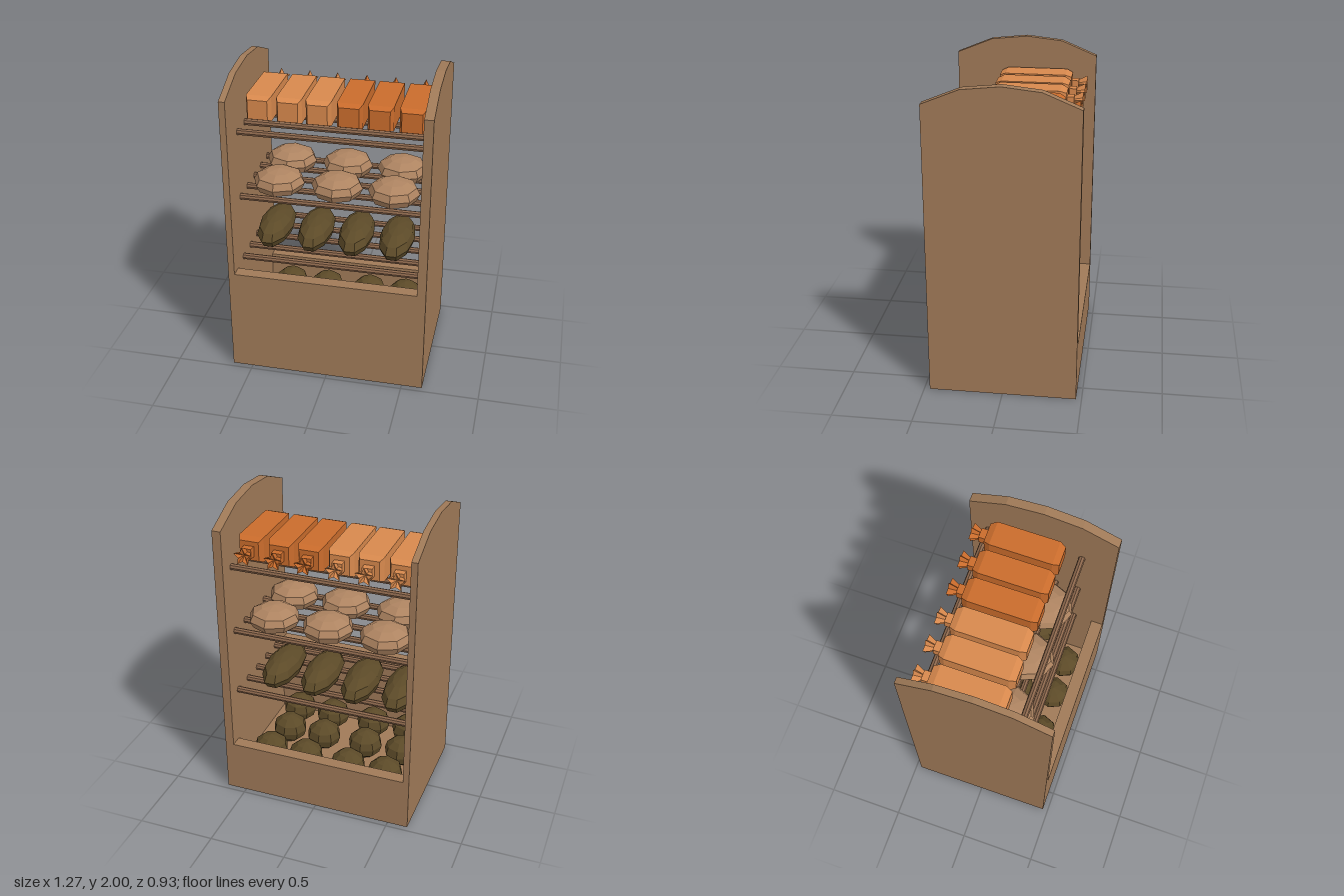
import * as THREE from 'three';

const mat = (name, color) => {
  const m = new THREE.MeshStandardMaterial({ color });
  m.name = name;
  m.flatShading = true;
  return m;
};

export function createModel() {
  const wood = mat('wood', 0xa07a58);
  const rodWood = mat('rod wood', 0x8c674c);
  const crust = mat('pale crust', 0xae8461);
  const rye = mat('dark rye', 0x5c4a28);
  const bagLight = mat('light orange bag', 0xd8894d);
  const bagDark = mat('dark orange bag', 0xca6c2c);

  const model = new THREE.Group();
  model.name = 'breadRack';
  const add = (name, geo, material, x = 0, y = 0, z = 0, parent = model) => {
    const mesh = new THREE.Mesh(geo, material);
    mesh.name = name;
    mesh.position.set(x, y, z);
    parent.add(mesh);
    return mesh;
  };

  // Extrude a (z, y) profile from x0 to x1
  const extrudeX = (profile, x0, x1) => {
    const shape = new THREE.Shape(profile.map(([z, y]) => new THREE.Vector2(-z, y)));
    const geo = new THREE.ExtrudeGeometry(shape, { depth: x1 - x0, bevelEnabled: false });
    return geo.rotateY(Math.PI / 2).translate(x0, 0, 0);
  };

  // Side panels with arched tops
  const side = [[0.465, 0], [0.465, 1.88], [0.235, 1.975], [0, 2], [-0.235, 1.975], [-0.465, 1.88], [-0.465, 0]];
  add('rightPanel', extrudeX(side, -0.633, -0.593), wood);
  add('leftPanel', extrudeX(side, 0.576, 0.633), wood);

  // Bin with a high front, low back and raised floor
  const bin = [
    [0.465, 0], [0.465, 0.7], [0.385, 0.7], [0.385, 0.14], [-0.385, 0.14],
    [-0.385, 0.35], [-0.465, 0.35], [-0.465, 0], [-0.385, 0.085], [0.385, 0.085],
  ];
  add('bin', extrudeX(bin, -0.593, 0.576), wood);

  // Three shelves of five rods
  const rodGeo = new THREE.CylinderGeometry(0.021, 0.021, 1.169, 8, 1, true).rotateZ(Math.PI / 2);
  [0.715, 1.155, 1.602].forEach((y, i) => {
    const shelf = new THREE.Group();
    shelf.name = 'shelf' + (i + 1);
    for (const z of [-0.347, -0.197, -0.047, 0.105, 0.256]) add('rod', rodGeo, rodWood, -0.0085, y, z, shelf);
    model.add(shelf);
  });

  // Faceted loaf with a flattened base
  const loaf = (rx, ry, rz, base, segments) => {
    const geo = new THREE.SphereGeometry(1, segments, 6);
    const p = geo.attributes.position;
    for (let i = 0; i < p.count; i++) p.setY(i, Math.max(p.getY(i), base));
    return geo.scale(rx, ry, rz);
  };

  // Small round rolls in the bin
  const rollGeo = loaf(0.117, 0.1, 0.115, -0.9, 8);
  [-0.25, 0.01, 0.268].forEach((z, row) => {
    for (const x of [-0.41, -0.152, 0.148, 0.4]) add('binRoll', rollGeo, rye, x - (row === 1 ? 0.03 : 0), 0.235, z);
  });

  // Long rye loaves on the first shelf
  const ryeGeo = loaf(0.115, 0.094, 0.27, -0.68, 10);
  for (const x of [-0.457, -0.183, 0.09, 0.363]) add('ryeLoaf', ryeGeo, rye, x, 0.79, -0.07);

  // Two rows of round loaves on the second shelf
  const roundGeo = loaf(0.166, 0.088, 0.165, -0.52, 8);
  for (const z of [-0.21, 0.12])
    for (const x of [-0.376, 0, 0.362]) add('roundLoaf', roundGeo, crust, x, 1.222, z);

  // Bagged loaf: square sections along z, given as [half width, z]
  const bagGeo = new THREE.LatheGeometry(
    [[0, -0.36], [0.032, -0.36], [0.032, -0.315], [0.062, -0.315], [0.08, -0.275], [0.08, 0.12], [0.063, 0.16], [0, 0.16]]
      .map(([r, z]) => new THREE.Vector2(r * Math.SQRT2, z)), 4, Math.PI / 4,
  ).rotateX(Math.PI / 2);

  // Star-shaped gathered end of the bag
  const tieGeo = new THREE.LatheGeometry(
    [[0, -0.385], [0.06, -0.415], [0.03, -0.355]].map(([r, z]) => new THREE.Vector2(r, z)), 10,
  );
  const tp = tieGeo.attributes.position;
  for (let i = 0; i < tp.count; i++) {
    const k = Math.floor(i / 3) % 2 ? 0.5 : 1;
    tp.setXYZ(i, tp.getX(i) * k, tp.getY(i), tp.getZ(i) * k);
  }
  tieGeo.rotateX(Math.PI / 2).rotateZ(Math.PI);

  // Six bagged loaves on the top shelf
  [-0.492, -0.3, -0.115, 0.08, 0.27, 0.466].forEach((x, i) => {
    const m = i < 3 ? bagLight : bagDark;
    const bagged = new THREE.Group();
    bagged.name = 'baggedLoaf' + (i + 1);
    add('bag', bagGeo, m, 0, 0, 0, bagged);
    add('bagTie', tieGeo, m, 0, 0, 0, bagged);
    bagged.position.set(x, 1.712, 0);
    model.add(bagged);
  });

  return model;
}
